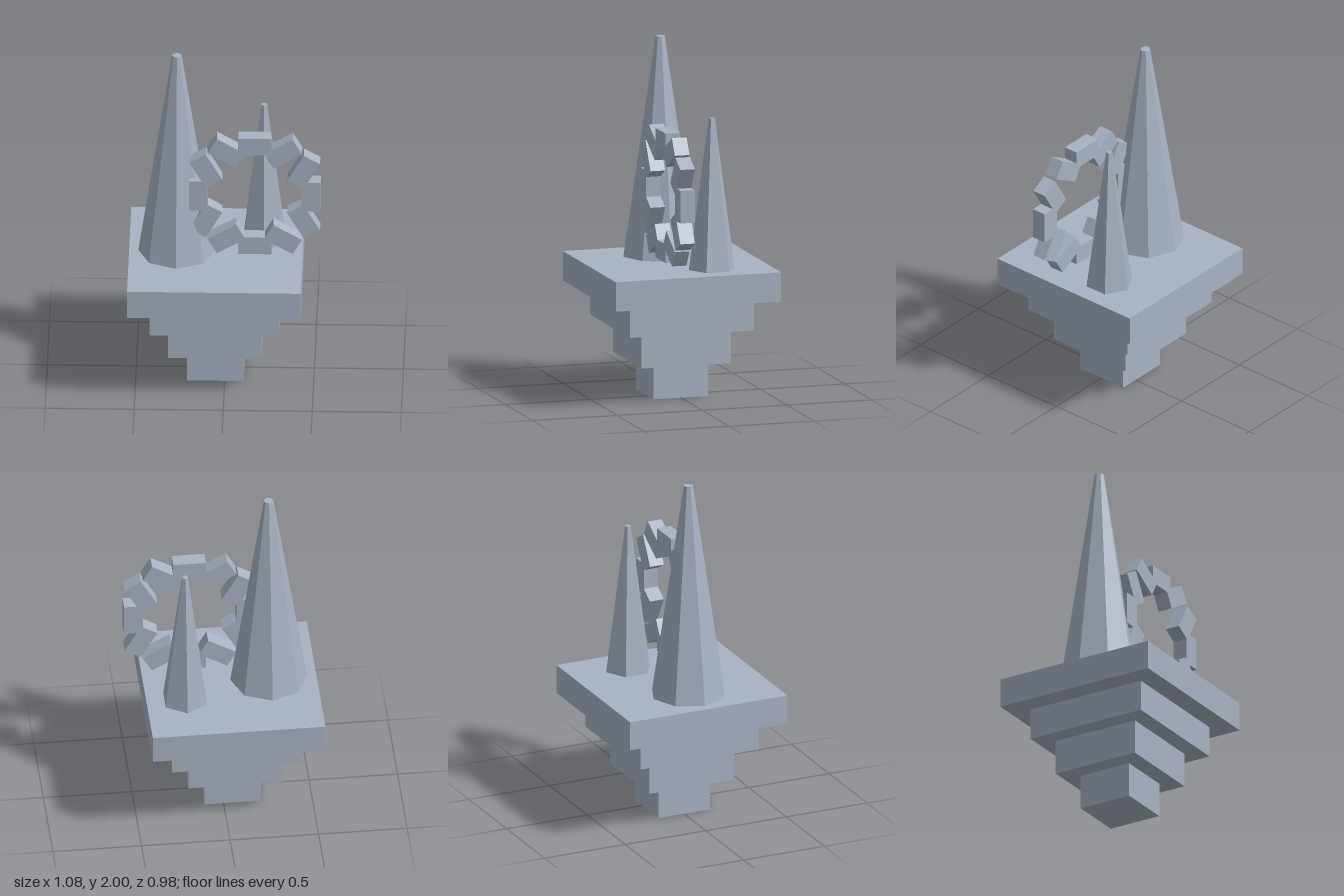
import * as THREE from 'three';

const stone = new THREE.MeshStandardMaterial({ color: 0xa8b2c2 });
stone.name = 'blue grey stone';
stone.flatShading = true;

function addMesh(parent, name, geometry, x, y, z) {
  const mesh = new THREE.Mesh(geometry, stone);
  mesh.name = name;
  mesh.position.set(x, y, z);
  parent.add(mesh);
  return mesh;
}

// Tapered faceted tower standing on the top slab
function addSpire(parent, name, sides, rTop, rBottom, bottom, top, x, z) {
  const geometry = new THREE.CylinderGeometry(rTop, rBottom, top - bottom, sides);
  addMesh(parent, name, geometry, x, (bottom + top) / 2, z);
}

export function createModel() {
  const model = new THREE.Group();
  model.name = 'floatingCitadel';

  // Inverted stepped base: [width, bottom, top]
  const base = new THREE.Group();
  base.name = 'steppedBase';
  model.add(base);
  const tiers = [
    [0.32, 0, 0.2],
    [0.525, 0.2, 0.4],
    [0.73, 0.4, 0.58],
    [0.975, 0.58, 0.748],
  ];
  tiers.forEach(([w, y0, y1], i) =>
    addMesh(base, `tier${i + 1}`, new THREE.BoxGeometry(w, y1 - y0, w), -0.053, (y0 + y1) / 2, 0));

  // Two spires
  addSpire(model, 'tallSpire', 8, 0.027, 0.217, 0.748, 2, -0.272, 0);
  addSpire(model, 'shortSpire', 6, 0.018, 0.135, 0.748, 1.61, 0.215, -0.148);

  // Upright ring of twelve blocks, each counter-rotated to give a jagged outline
  const ring = new THREE.Group();
  ring.name = 'blockRing';
  ring.position.set(0.168, 1.175, 0.096);
  model.add(ring);
  const block = new THREE.BoxGeometry(0.186, 0.106, 0.086);
  for (let i = 0; i < 12; i++) {
    const a = (i * Math.PI) / 6;
    const mesh = addMesh(ring, 'ringBlock', block, Math.cos(a) * 0.317, Math.sin(a) * 0.317, 0);
    mesh.rotation.z = Math.PI / 2 - a;
  }

  return model;
}
